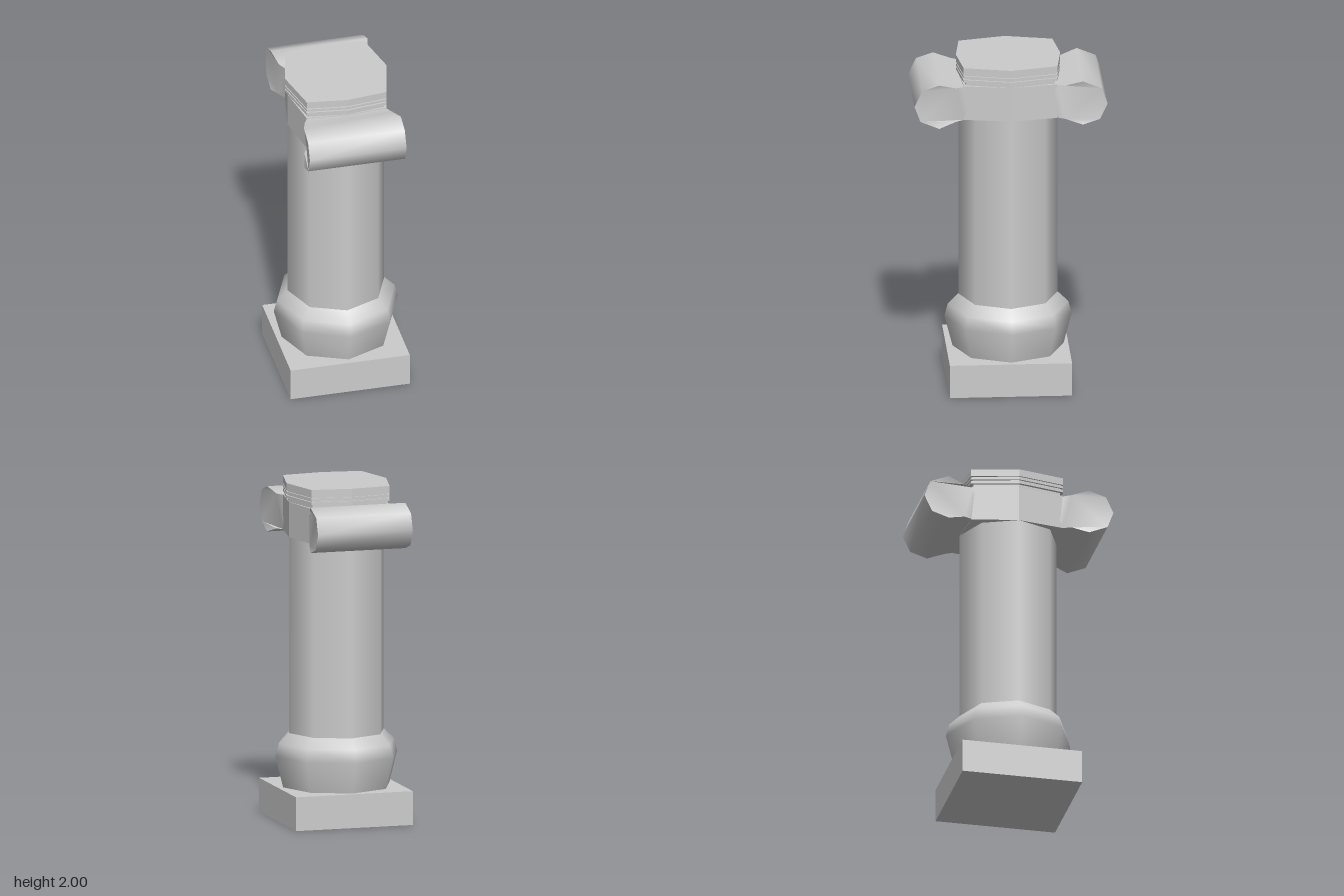
import * as THREE from 'three';
import { toCreasedNormals } from 'three/addons/utils/BufferGeometryUtils.js';

const material = new THREE.MeshStandardMaterial({ color: 0xcccccc });

function add(parent, name, geometry, y = 0) {
  const mesh = new THREE.Mesh(geometry, material);
  mesh.name = name;
  mesh.position.y = y;
  parent.add(mesh);
  return mesh;
}

// Horizontal slab with a squarish octagonal outline, standing on y = 0
function octagonSlab(axisX, axisZ, cornerX, cornerZ, height) {
  const shape = new THREE.Shape([
    [axisX, 0], [cornerX, cornerZ], [0, axisZ], [-cornerX, cornerZ],
    [-axisX, 0], [-cornerX, -cornerZ], [0, -axisZ], [cornerX, -cornerZ],
  ].map(([x, z]) => new THREE.Vector2(x, z)));
  const geometry = new THREE.ExtrudeGeometry(shape, { depth: height, bevelEnabled: false });
  return geometry.rotateX(-Math.PI / 2);
}

// Scroll of the capital: a rounded section run along x, narrowing towards the block
function scrollGeometry() {
  const section = [
    [0.24, -0.103], [0.27, -0.103], [0.32, -0.105], [0.42, -0.138], [0.53, -0.093],
    [0.565, 0.002], [0.52, 0.097], [0.42, 0.13], [0.32, 0.102], [0.27, 0.1], [0.24, 0.1],
  ].map(([z, y]) => new THREE.Vector2(z, y));
  const geometry = new THREE.ExtrudeGeometry(new THREE.Shape(section), { depth: 2, bevelEnabled: false });
  geometry.translate(0, 0, -1).rotateY(-Math.PI / 2);
  const p = geometry.attributes.position;
  for (let i = 0; i < p.count; i++) {
    const z = p.getZ(i);
    const halfWidth = z < 0.3 ? 0.238 : z < 0.4 ? 0.265 : 0.29;
    p.setX(i, p.getX(i) * halfWidth);
  }
  return toCreasedNormals(geometry, 0.95);
}

export function createModel() {
  const column = new THREE.Group();
  column.name = 'column';

  // Square plinth
  add(column, 'plinth', new THREE.BoxGeometry(0.715, 0.2, 0.715).translate(0, 0.1, 0.005));

  // Eight-sided bulging base
  const profile = [[0.325, 0.2], [0.372, 0.385], [0.352, 0.46], [0.29, 0.52]];
  add(column, 'baseMoulding', new THREE.LatheGeometry(
    profile.map(([r, y]) => new THREE.Vector2(r, y)), 8));

  // Eight-sided shaft, shaded smooth
  add(column, 'shaft', new THREE.CylinderGeometry(0.29, 0.29, 1.2, 8), 1.12);

  // Capital block with a scroll at the front and back
  const capital = new THREE.Group();
  capital.name = 'capital';
  capital.position.y = 1.783;
  column.add(capital);
  add(capital, 'capitalBlock', octagonSlab(0.29, 0.29, 0.24, 0.272, 0.208), -0.103);
  const scroll = scrollGeometry();
  add(capital, 'frontScroll', scroll);
  add(capital, 'backScroll', scroll).rotation.x = Math.PI;

  // Stacked cap: thin rings with recessed necks between them
  const layers = [
    ['lowerNeck', 0.288, 1.885, 0.03],
    ['lowerRing', 0.305, 1.91, 0.017],
    ['middleNeck', 0.294, 1.92, 0.02],
    ['upperRing', 0.305, 1.935, 0.015],
    ['upperNeck', 0.296, 1.945, 0.015],
    ['topSlab', 0.305, 1.957, 0.043],
  ];
  for (const [name, r, y, height] of layers) {
    add(column, name, octagonSlab(r, r, r * 0.785, r * 0.9, height), y);
  }
  return column;
}
